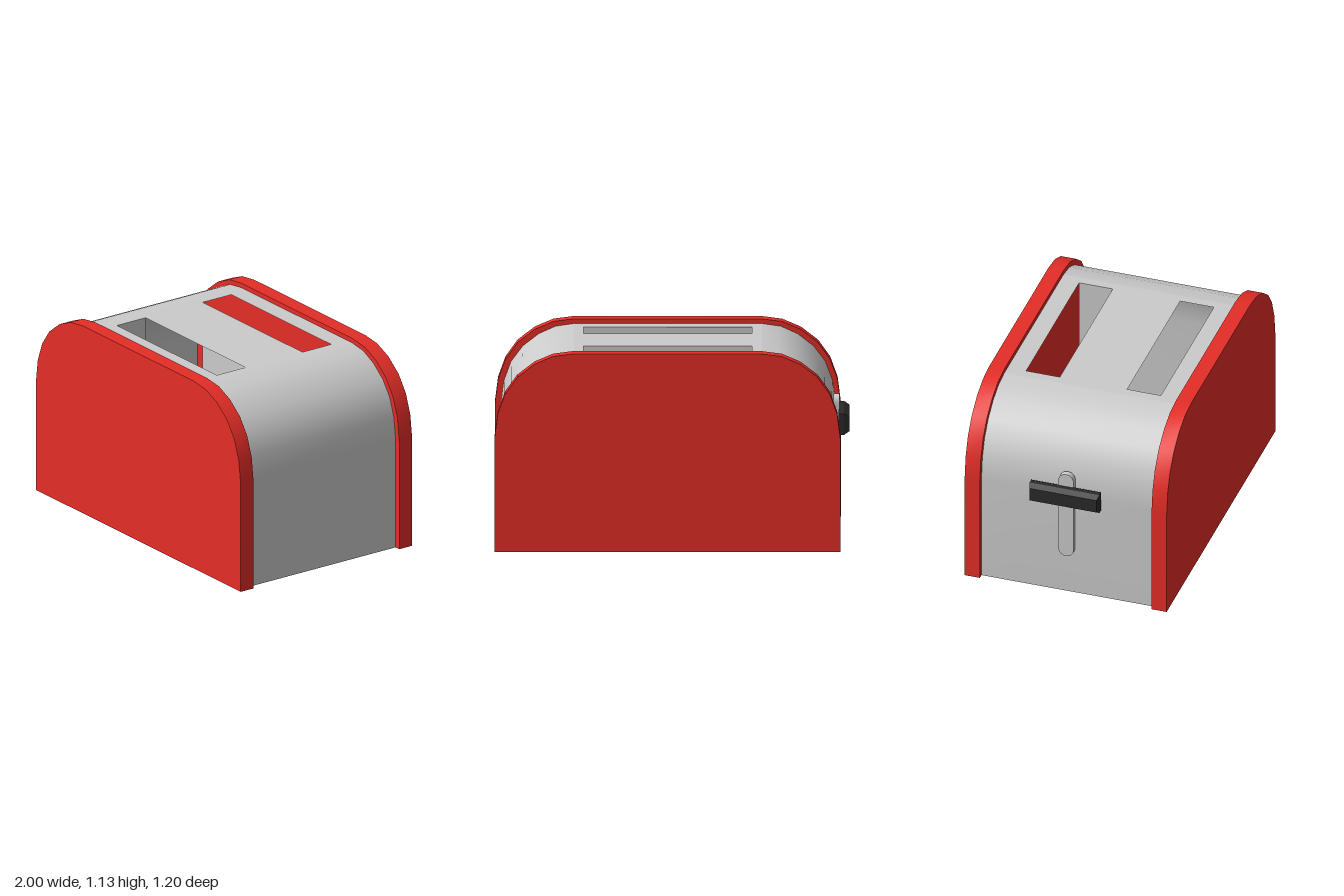
import * as THREE from 'three';

const mat = (color) => new THREE.MeshStandardMaterial({ color, side: THREE.DoubleSide });

// Mirrors a right-hand half profile into a full arch, running right foot to left foot
function arch(half, cx) {
  const left = half.map(([x, y]) => [cx - x, y]).reverse();
  return [...half.map(([x, y]) => [cx + x, y]), ...left];
}

// Open sheet: a profile in x, y swept from z0 to z1
function sheet(pts, z0, z1) {
  const pos = [], idx = [];
  pts.forEach(([x, y], i) => {
    pos.push(x, y, z0, x, y, z1);
    if (i < pts.length - 1) {
      const a = 2 * i;
      idx.push(a, a + 2, a + 1, a + 2, a + 3, a + 1);
    }
  });
  const g = new THREE.BufferGeometry();
  g.setAttribute('position', new THREE.Float32BufferAttribute(pos, 3));
  g.setIndex(idx);
  g.computeVertexNormals();
  return g;
}

export function createModel() {
  const model = new THREE.Group();
  model.name = 'toaster';
  const grey = mat(0xcccccc), red = mat(0xe52d27), black = mat(0x2a2a2a);

  const add = (name, geometry, material, parent = model) => {
    const mesh = new THREE.Mesh(geometry, material);
    mesh.name = name;
    parent.add(mesh);
    return mesh;
  };

  // Arched end panels: outer plate, inner plate and rim, open underneath
  const panelArch = arch([[0.975, 0], [0.975, 0.65], [0.957, 0.79], [0.915, 0.905],
    [0.847, 1.0], [0.75, 1.075], [0.645, 1.12], [0.53, 1.135]], 0.025);
  const plate = new THREE.ShapeGeometry(new THREE.Shape(panelArch.map((p) => new THREE.Vector2(...p))));
  for (const s of [1, -1]) {
    const panel = new THREE.Group();
    panel.name = s > 0 ? 'frontPanel' : 'backPanel';
    model.add(panel);
    for (const [name, z] of [['outerPlate', 0.6], ['innerPlate', 0.51]]) {
      const m = add(name, plate, red, panel);
      m.position.z = s * z;
      // turn each plate's face away from the panel's middle
      if ((name === 'outerPlate') !== (s > 0)) {
        m.geometry = plate.clone().scale(-1, 1, 1).rotateY(Math.PI);
        m.geometry.computeVertexNormals();
      }
    }
    add('rim', sheet(panelArch, Math.min(s * 0.51, s * 0.6), Math.max(s * 0.51, s * 0.6)), red, panel);
  }

  // Curved body shoulders and side walls
  const bodyHalf = [[0.9425, 0], [0.9425, 0.65], [0.925, 0.785], [0.885, 0.893],
    [0.82, 0.98], [0.73, 1.05], [0.635, 1.093], [0.53, 1.108]];
  const cx = 0.0225, n = bodyHalf.length;
  const bodyArch = arch(bodyHalf, cx);
  add('leftWall', sheet(bodyArch.slice(0, n), -0.51, 0.51), grey);
  add('rightWall', sheet(bodyArch.slice(n), -0.51, 0.51), grey);

  // Flat top with two bread slots
  const rect = (path, x0, x1, y0, y1) =>
    path.moveTo(x0, y0).lineTo(x1, y0).lineTo(x1, y1).lineTo(x0, y1).closePath();
  const top = rect(new THREE.Shape(), cx - 0.53, cx + 0.53, -0.51, 0.51);
  for (const z of [-0.4, 0.2]) top.holes.push(rect(new THREE.Path(), -0.45, 0.5, z, z + 0.2));
  add('top', new THREE.ShapeGeometry(top).rotateX(-Math.PI / 2), grey).position.y = 1.108;

  // Slot linings: one long wall and one end wall for each slot
  const depth = 0.8, liningY = 1.108 - depth / 2;
  const linings = [
    { name: 'frontSlot', longZ: 0.4, endX: -0.45, midZ: 0.3 },
    { name: 'backSlot', longZ: -0.2, endX: 0.5, midZ: -0.3 },
  ];
  for (const { name, longZ, endX, midZ } of linings) {
    const long = new THREE.PlaneGeometry(0.95, depth);
    add(name + 'LongWall', long, grey).position.set(0.025, liningY, longZ);
    const end = new THREE.PlaneGeometry(0.2, depth).rotateY(Math.PI / 2);
    add(name + 'EndWall', end, grey).position.set(endX, liningY, midZ);
  }

  // Base slab
  add('base', new THREE.BoxGeometry(1.881, 0.1, 1.024), grey).position.set(cx, 0.05, 0);

  // Raised lever track with rounded ends
  const track = new THREE.Shape();
  track.absarc(0, 0.755, 0.045, 0, Math.PI);
  track.absarc(0, 0.295, 0.045, Math.PI, Math.PI * 2);
  track.closePath();
  const trackGeo = new THREE.ExtrudeGeometry(track, { depth: 0.035, bevelEnabled: false, curveSegments: 6 });
  add('leverTrack', trackGeo.rotateY(-Math.PI / 2), grey).position.x = -0.91;

  // Lever handle, chamfered on its outer end
  const handle = new THREE.BoxGeometry(0.06, 0.12, 0.415, 2, 1, 1).toNonIndexed();
  const p = handle.attributes.position;
  for (let i = 0; i < p.count; i++) {
    if (p.getX(i) < -0.02) p.setXYZ(i, p.getX(i), p.getY(i) * 0.67, p.getZ(i) * 0.96);
  }
  handle.computeVertexNormals();
  add('leverHandle', handle, black).position.set(-0.97, 0.66, 0);

  return model;
}
